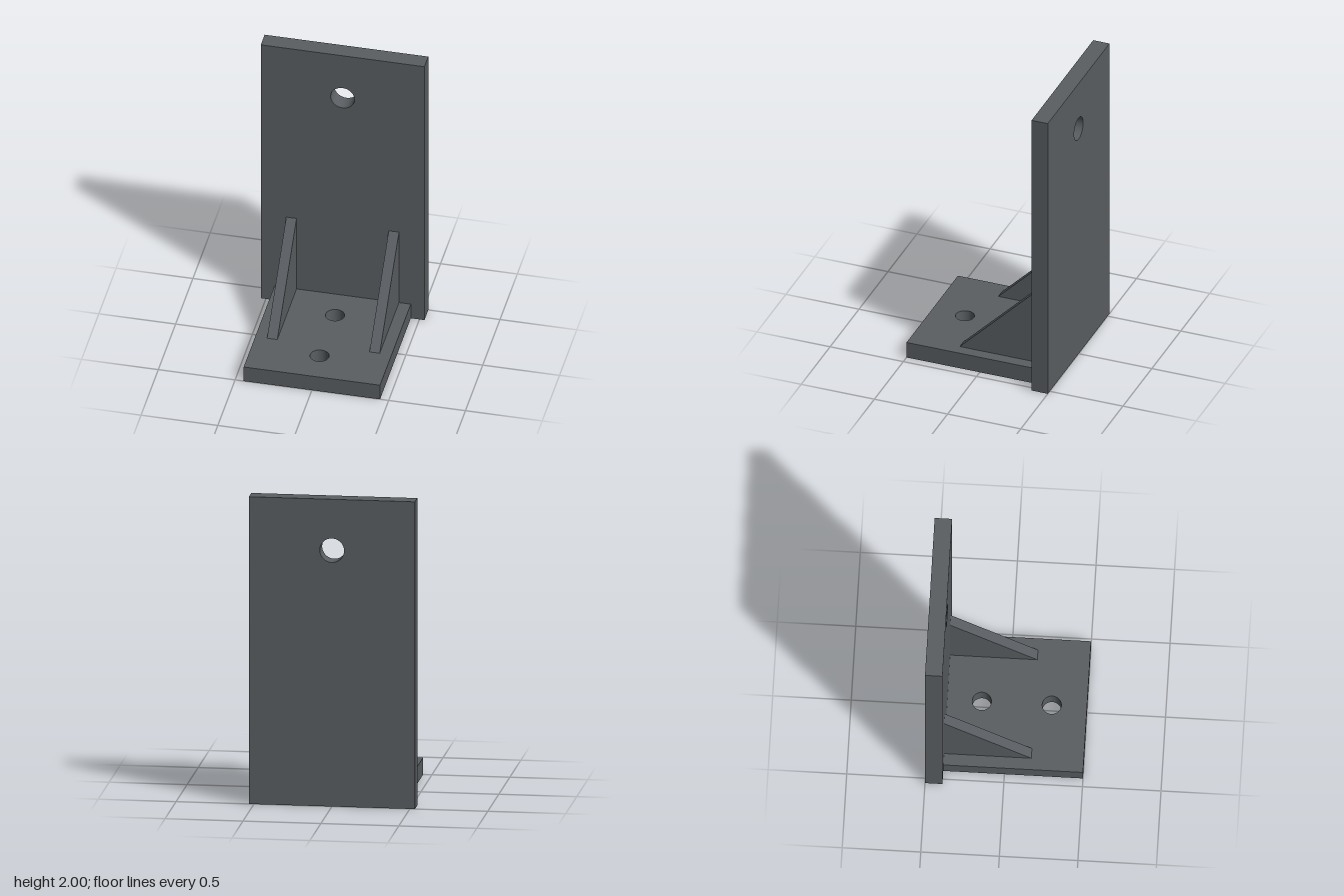
import * as THREE from 'three';

// Shape from corner points, with round holes given as [x, y, radius]
function outline(points, holes = []) {
  const shape = new THREE.Shape(points.map(([x, y]) => new THREE.Vector2(x, y)));
  for (const [x, y, r] of holes) {
    const path = new THREE.Path();
    path.absarc(x, y, r, 0, Math.PI * 2, true);
    shape.holes.push(path);
  }
  return shape;
}

const rect = (x0, y0, x1, y1) => [[x0, y0], [x1, y0], [x1, y1], [x0, y1]];

const extrude = (shape, depth) =>
  new THREE.ExtrudeGeometry(shape, { depth, bevelEnabled: false, curveSegments: 48 });

export function createModel() {
  const model = new THREE.Group();
  model.name = 'mountingBracket';

  const steel = new THREE.MeshStandardMaterial({ color: 0x5a5e62 });
  steel.name = 'darkSteel';

  const add = (name, geometry) => {
    const mesh = new THREE.Mesh(geometry, steel);
    mesh.name = name;
    model.add(mesh);
  };

  const thickness = 0.111;
  const joint = -0.389; // z where the back plate meets the base

  // Upright back plate with one bolt hole
  const back = extrude(outline(rect(-0.533, 0, 0.533, 2), [[0, 1.667, 0.078]]), thickness);
  back.translate(0, 0, -0.5);
  add('backPlate', back);

  // Base plate with two bolt holes, drawn flat and laid down (shape y is -z)
  const base = extrude(
    outline(rect(-0.444, -0.5, 0.444, -joint), [[0, 0.169, 0.061], [0, -0.276, 0.061]]),
    thickness
  );
  base.rotateX(-Math.PI / 2);
  add('basePlate', base);

  // Pair of triangular gussets bracing the corner
  const width = 0.067;
  const triangle = outline([[joint, thickness], [0.167, thickness], [joint, 0.667]]);
  for (const side of [1, -1]) {
    const gusset = extrude(triangle, width);
    gusset.rotateY(-Math.PI / 2);
    gusset.translate(side * 0.3335 + width / 2, 0, 0);
    add(side > 0 ? 'leftGusset' : 'rightGusset', gusset);
  }

  return model;
}
